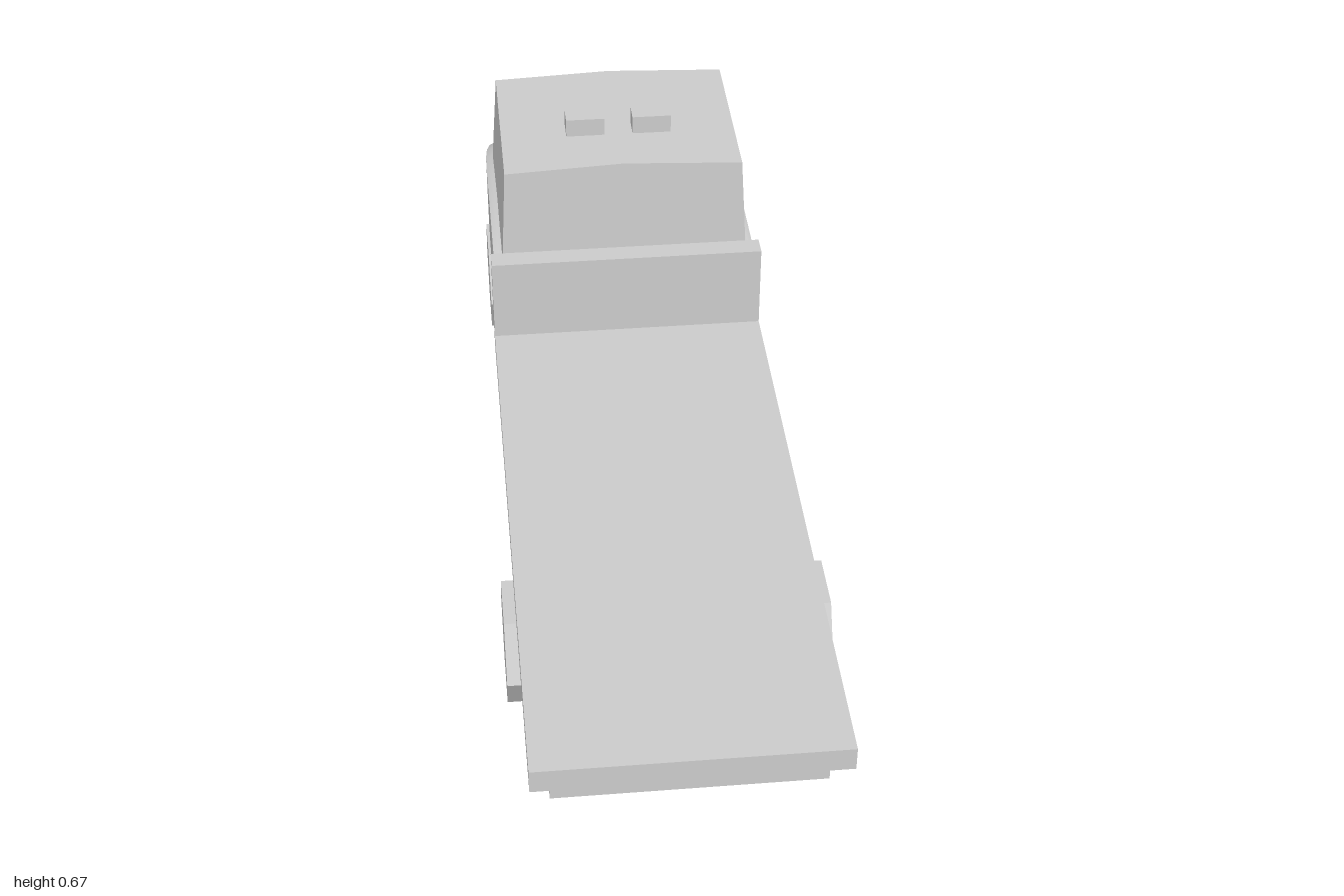
import * as THREE from 'three';
import { toCreasedNormals } from 'three/addons/utils/BufferGeometryUtils.js';
import { RoundedBoxGeometry } from 'three/addons/geometries/RoundedBoxGeometry.js';

const material = new THREE.MeshStandardMaterial({ color: 0xcccccc });

// Skin equal-length rings of [x, y, z] (counter-clockwise seen from +z, running to -z) and cap both ends
function loft(rings, crease) {
  const n = rings[0].length, index = [], last = (rings.length - 1) * n;
  for (let r = 0; r < rings.length - 1; r++) {
    for (let i = 0; i < n; i++) {
      const a = r * n + i, e = r * n + (i + 1) % n;
      index.push(a, a + n, e + n, a, e + n, e);
    }
  }
  for (let i = 1; i < n - 1; i++) {
    index.push(0, i, i + 1, last, last + i + 1, last + i);
  }
  const geo = new THREE.BufferGeometry();
  geo.setAttribute('position', new THREE.Float32BufferAttribute(rings.flat(2), 3));
  geo.setIndex(index);
  return toCreasedNormals(geo, crease);
}

export function createModel() {
  const group = new THREE.Group();

  function add(name, geo, x = 0, y = 0, z = 0) {
    const mesh = new THREE.Mesh(geo, material);
    mesh.name = name;
    mesh.position.set(x, y, z);
    group.add(mesh);
  }
  // Box given by its extents
  function box(name, x0, x1, y0, y1, z0, z1) {
    add(name, new THREE.BoxGeometry(x1 - x0, y1 - y0, z1 - z0),
      (x0 + x1) / 2, (y0 + y1) / 2, (z0 + z1) / 2);
  }

  // Flat bed, headboard and chassis
  box('flatBed', -0.29, 0.29, 0.207, 0.257, -0.325, 1);
  box('headboard', -0.29, 0.29, 0.257, 0.443, -0.325, -0.28);
  box('chassis', -0.253, 0.253, 0.137, 0.207, -0.28, 0.955);

  // Lower cab and bonnet: z, half width, bottom, shoulder height
  const stations = [
    [-0.33, 0.274, 0.136, 0.402], [-0.345, 0.283, 0.13, 0.406], [-0.6, 0.283, 0.129, 0.406],
    [-0.71, 0.283, 0.128, 0.395], [-0.81, 0.282, 0.127, 0.382], [-0.88, 0.278, 0.127, 0.36],
    [-0.94, 0.27, 0.129, 0.336], [-0.968, 0.258, 0.134, 0.318], [-0.982, 0.238, 0.142, 0.296],
  ];
  add('cabBody', loft(stations.map(([z, w, b, t]) => [
    [-w, b, z], [w, b, z], [w, t, z], [w - 0.012, t + 0.006, z],
    [0, t + 0.01, z], [0.012 - w, t + 0.006, z], [-w, t, z],
  ]), 0.6));

  // Cabin with sloping windscreen and slightly crowned roof
  const outline = [[-0.267, 0.37], [0.267, 0.37], [0.253, 0.625], [0, 0.637], [-0.253, 0.625]];
  const rear = (y) => -0.342 - (y - 0.4) * 0.045;
  const front = (y) => -0.81 + (y - 0.39) * 0.272;
  add('cabin', loft([rear, front].map((f) => outline.map(([x, y]) => [x, y, f(y)])), 0.3));

  for (const [side, s] of [['left', 1], ['right', -1]]) {
    // Roof beacons and front lamps
    add(side + 'Beacon', new THREE.BoxGeometry(0.083, 0.04, 0.05), s * 0.0715, 0.655, -0.5);
    add(side + 'Lamp', new RoundedBoxGeometry(0.078, 0.014, 0.03, 2, 0.006), s * 0.205, 0.218, -0.985);

    // Six-sided wheels standing on a flat
    for (const [end, z, inner, outer] of [['Rear', 0.515, 0.19, 0.314], ['Front', -0.73, 0.19, 0.289]]) {
      const wheel = toCreasedNormals(new THREE.CylinderGeometry(0.121, 0.121, outer - inner, 6), 0.3);
      wheel.rotateZ(Math.PI / 2);
      add(side + end + 'Wheel', wheel, s * (inner + outer) / 2, 0.105, z);
    }
  }
  return group;
}
